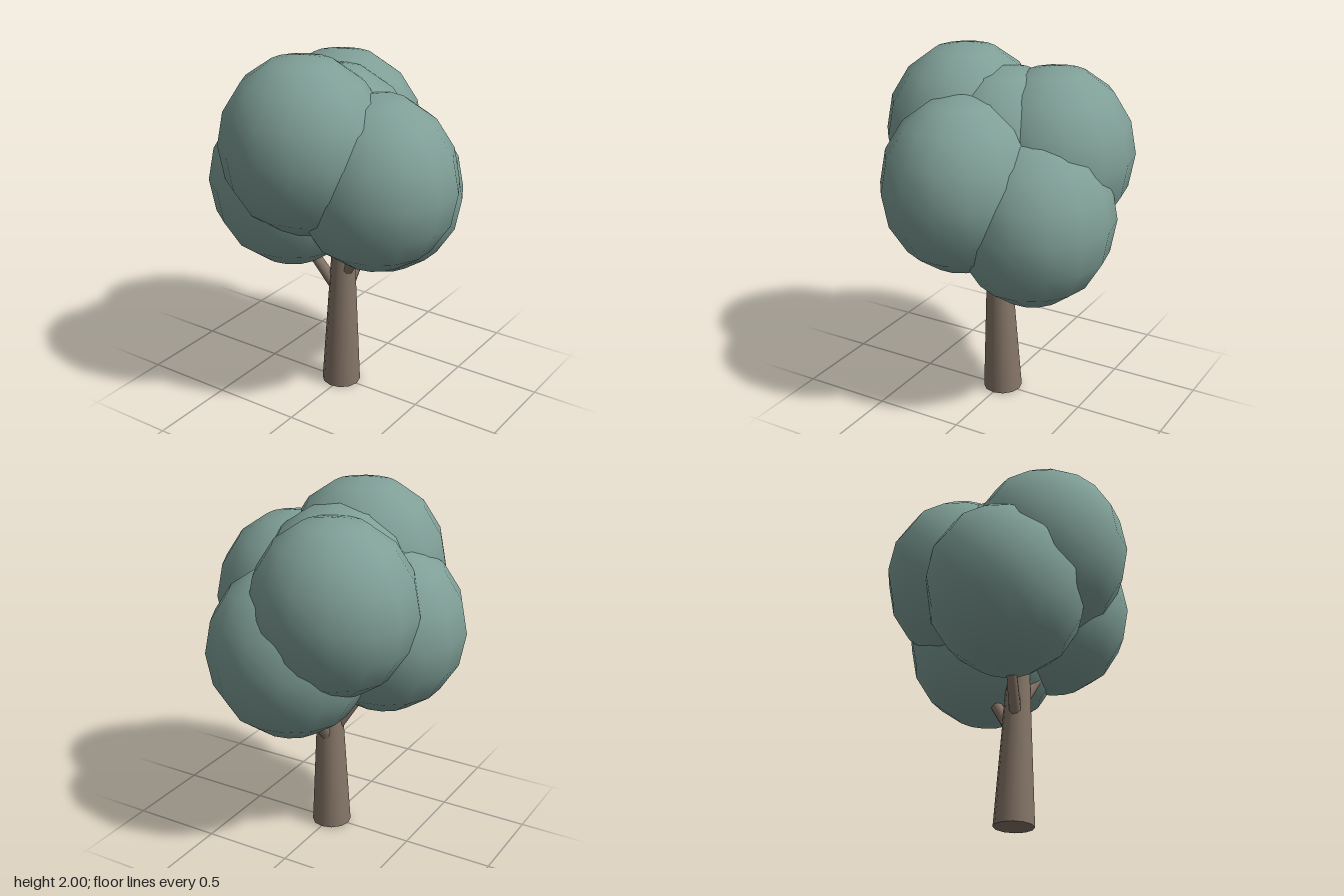
import * as THREE from 'three';

export function createModel() {
  const tree = new THREE.Group();
  tree.name = 'tree';
  const bark = new THREE.MeshStandardMaterial({ color: 0x857567 });
  const leaf = new THREE.MeshStandardMaterial({ color: 0x7f9f97 });

  // Tapered limb running between two points
  function limb(name, from, to, r0, r1, sides) {
    const a = new THREE.Vector3(...from), b = new THREE.Vector3(...to);
    const dir = b.clone().sub(a);
    const mesh = new THREE.Mesh(new THREE.CylinderGeometry(r1, r0, dir.length(), sides), bark);
    mesh.name = name;
    mesh.position.copy(a).add(b).multiplyScalar(0.5);
    mesh.quaternion.setFromUnitVectors(new THREE.Vector3(0, 1, 0), dir.normalize());
    tree.add(mesh);
  }

  // Slightly leaning trunk and three branches
  limb('trunk', [-0.01, 0.005, -0.005], [0.017, 1.0, 0.012], 0.11, 0.056, 12);
  limb('leftwardBranch', [-0.03, 0.61, 0.02], [-0.22, 0.92, 0.1], 0.034, 0.026, 8);
  limb('rightwardBranch', [0.035, 0.72, 0.025], [0.2, 0.94, 0.05], 0.034, 0.026, 8);
  limb('backBranch', [0, 0.56, -0.035], [0.03, 0.91, -0.26], 0.036, 0.028, 8);

  // Overlapping leaf clumps, all the same ellipsoid
  const clump = new THREE.SphereGeometry(1, 14, 8).rotateY(Math.PI / 2).scale(0.46, 0.48, 0.43);
  const clumps = {
    frontFoliage: [-0.065, 1.52, 0.26],
    rightFoliage: [0.262, 1.33, 0.085],
    leftFoliage: [-0.267, 1.24, 0.11],
    upperBackFoliage: [-0.16, 1.43, -0.24],
    lowerBackFoliage: [0.1, 1.145, -0.263],
    centreFoliage: [-0.05, 1.425, 0.01],
  };
  for (const [name, pos] of Object.entries(clumps)) {
    const mesh = new THREE.Mesh(clump, leaf);
    mesh.name = name;
    mesh.position.set(...pos);
    tree.add(mesh);
  }
  return tree;
}
